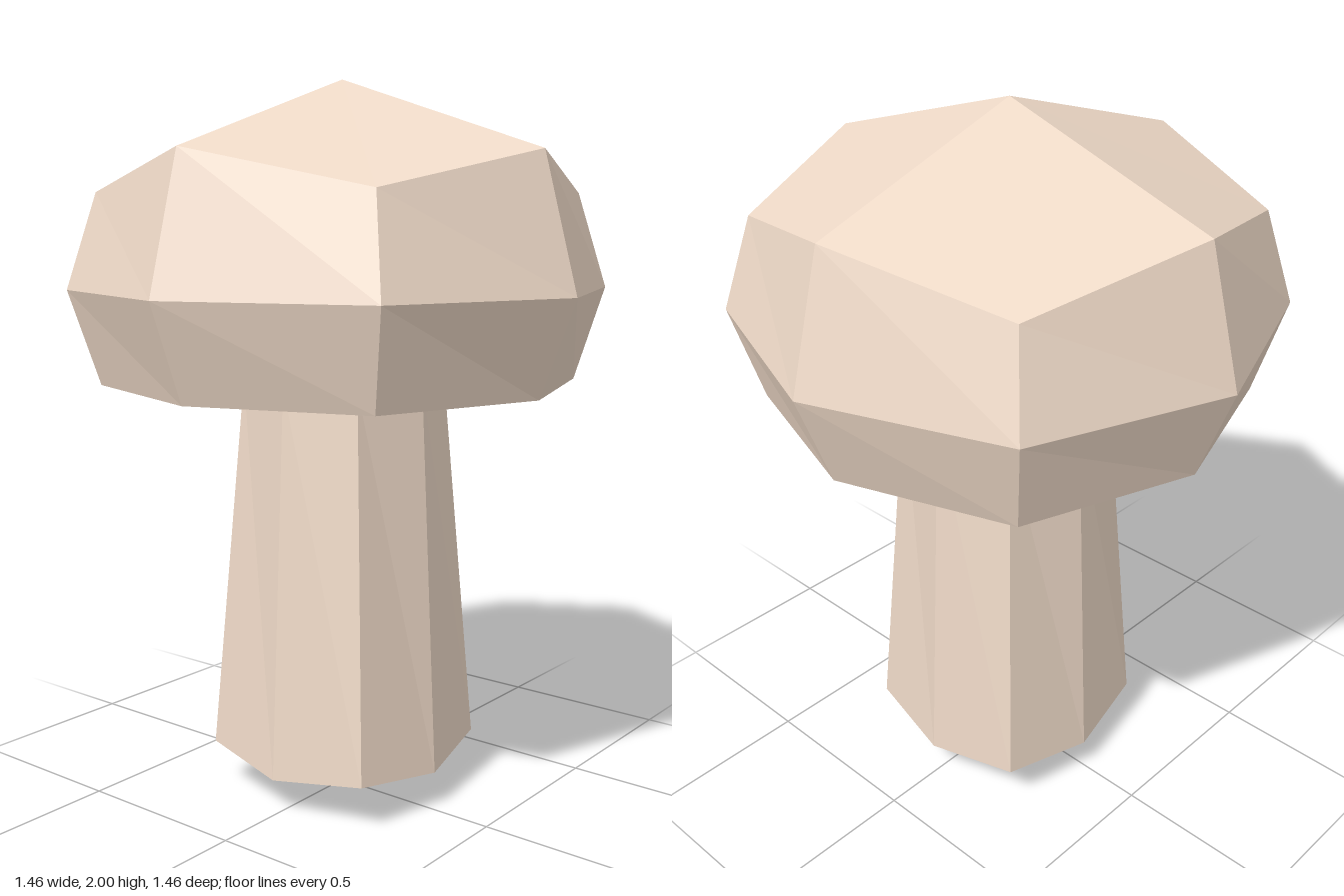
import * as THREE from 'three';

// Eight-sided ring: points on the axes at distance a, corner points at (c, c).
function ring(a, c, yAxis, yCorner = yAxis) {
  return Array.from({ length: 8 }, (_, i) => {
    const t = (i * Math.PI) / 4;
    const r = i % 2 ? c * Math.SQRT2 : a;
    return [r * Math.cos(t), i % 2 ? yCorner : yAxis, r * Math.sin(t)];
  });
}

// Skins rings listed from bottom to top, with optional points closing the ends.
function skin(rings, bottom, top) {
  const pos = [];
  const tri = (...points) => points.forEach((p) => pos.push(...p));
  for (let i = 0; i < 8; i++) {
    const j = (i + 1) % 8;
    for (let k = 0; k + 1 < rings.length; k++) {
      const lo = rings[k], hi = rings[k + 1];
      tri(lo[i], hi[i], hi[j]);
      tri(lo[i], hi[j], lo[j]);
    }
    const first = rings[0], last = rings[rings.length - 1];
    if (bottom) tri(bottom, first[i], first[j]);
    if (top) tri(top, last[j], last[i]);
  }
  const geometry = new THREE.BufferGeometry();
  geometry.setAttribute('position', new THREE.Float32BufferAttribute(pos, 3));
  geometry.computeVertexNormals();
  return geometry;
}

export function createModel() {
  const group = new THREE.Group();
  const tan = new THREE.MeshStandardMaterial({ color: 0xeed9c7, flatShading: true });
  const grey = new THREE.MeshStandardMaterial({ color: 0xcccccc, flatShading: true });
  const add = (name, geometry, material) => {
    const mesh = new THREE.Mesh(geometry, material);
    mesh.name = name;
    group.add(mesh);
    return mesh;
  };

  // Faceted cap rising to a low peak
  const rim = ring(0.63, 0.47, 1.18);
  add('cap', skin([rim, ring(0.73, 0.53, 1.44), ring(0.63, 0.47, 1.8, 1.7)], null, [0, 2, 0]), tan);

  // Flat underside of the cap
  add('capUnderside', skin([rim], [0, 1.18, 0], null), grey);

  // Tapered stem with a blunt pointed foot, set slightly back
  const stem = add('stem', skin(
    [ring(0.32, 0.267, 0.103, 0.135), ring(0.265, 0.2, 1.19)],
    [0, 0, -0.012], [0, 1.19, 0]), tan);
  stem.position.z = -0.012;

  return group;
}
